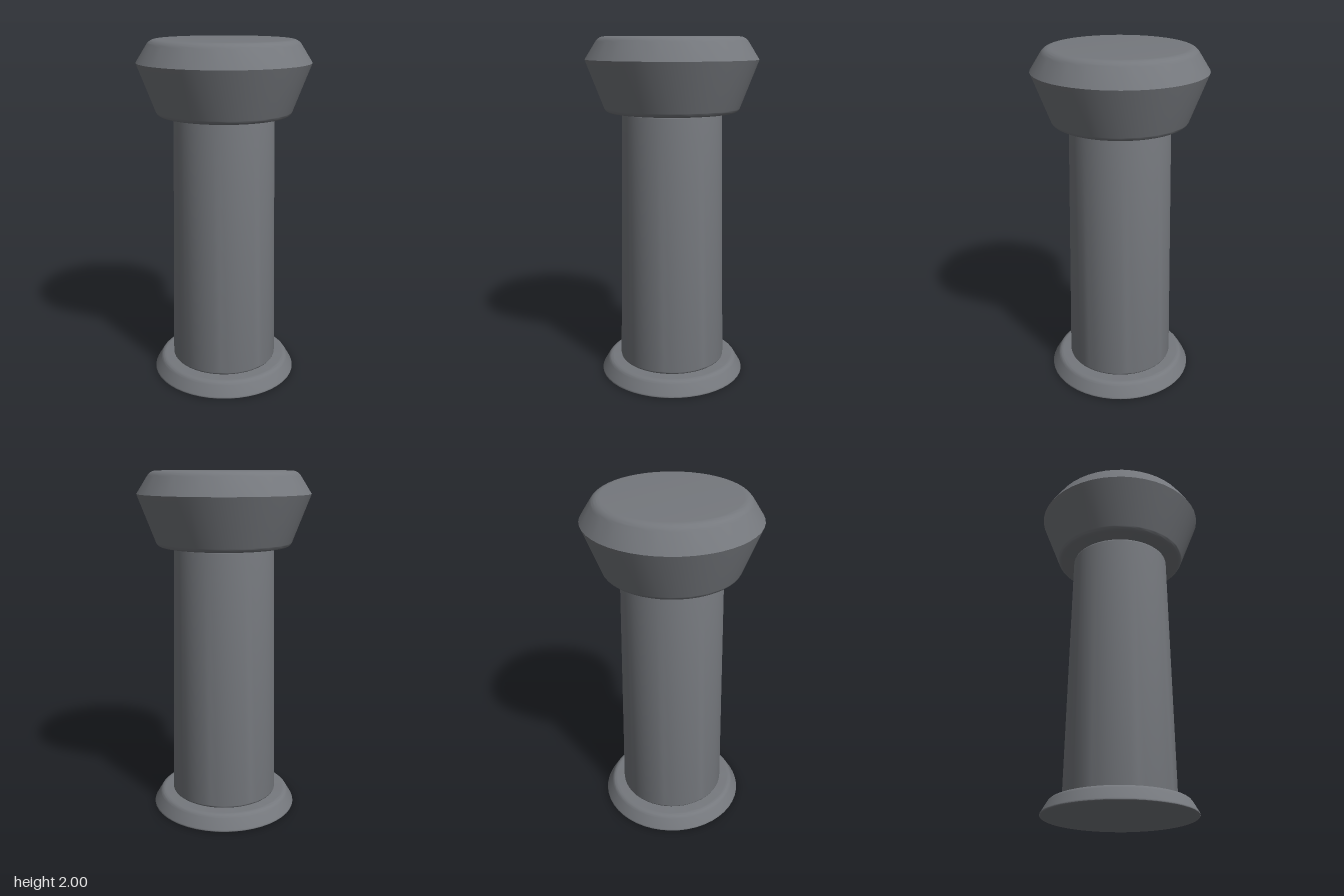
import * as THREE from 'three';
import { toCreasedNormals } from 'three/addons/utils/BufferGeometryUtils.js';

const SEGMENTS = 48;
const material = new THREE.MeshStandardMaterial({ color: 0x75787d });

// Turns corners [radius, y, rounding] into a profile with softened edges
function roundedProfile(corners, steps = 8) {
  const pts = corners.map(([r, y]) => new THREE.Vector2(r, y));
  const out = [];
  corners.forEach(([, , round], i) => {
    const p = pts[i];
    if (!round) return out.push(p);
    const toward = (q) => p.clone().add(q.clone().sub(p).setLength(round));
    const curve = new THREE.QuadraticBezierCurve(toward(pts[i - 1]), p, toward(pts[i + 1]));
    out.push(...curve.getPoints(steps));
  });
  return out;
}

// Turned solid, listed from the bottom centre up to the top centre
function turned(name, corners) {
  const lathe = new THREE.LatheGeometry(roundedProfile(corners), SEGMENTS);
  const mesh = new THREE.Mesh(toCreasedNormals(lathe, 0.6), material);
  mesh.name = name;
  return mesh;
}

export function createModel() {
  const group = new THREE.Group();
  group.name = 'pushPin';

  // Low flared foot, with an extra ring keeping the underside flat
  group.add(turned('base', [
    [0, 0], [0.4, 0], [0.434, 0, 0.014], [0.383, 0.088, 0.022], [0, 0.088],
  ]));

  // Slightly tapering column
  group.add(turned('shaft', [
    [0, 0.088], [0.314, 0.088, 0.018], [0.287, 1.583, 0.018], [0, 1.583],
  ]));

  // Flared head with a sharp rim
  group.add(turned('head', [
    [0, 1.582], [0.379, 1.582, 0.025], [0.491, 1.874], [0.411, 2, 0.035], [0, 2],
  ]));

  return group;
}
